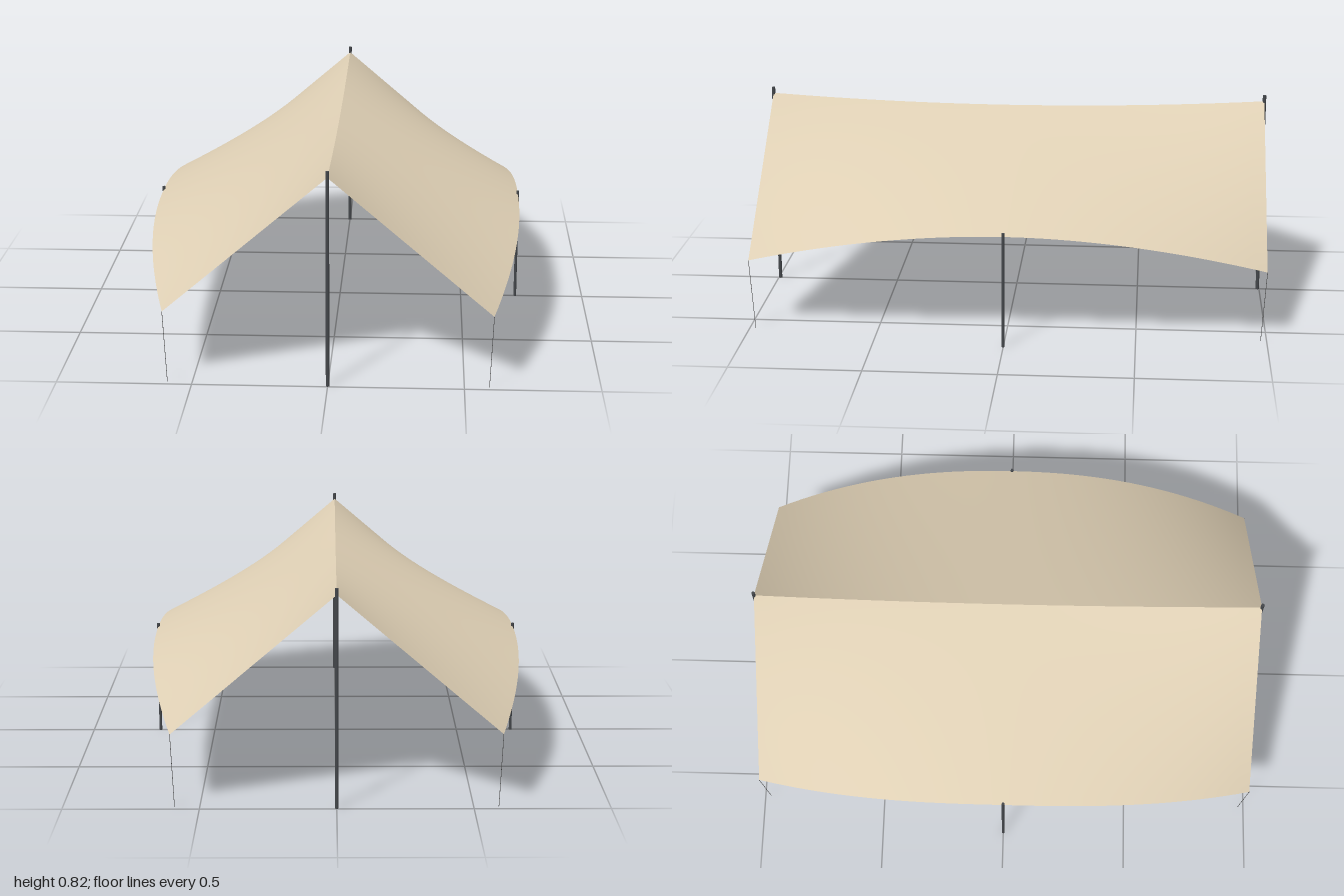
import * as THREE from 'three';

const HALF = 0.993; // half length of the ridge

export function createModel() {
  const group = new THREE.Group();
  const canvas = new THREE.MeshStandardMaterial({ color: 0xdecfb4, side: THREE.DoubleSide });
  canvas.name = 'sand canvas';
  const metal = new THREE.MeshStandardMaterial({ color: 0x43464a });
  metal.name = 'dark pole';
  const cord = new THREE.MeshStandardMaterial({ color: 0x4a4a4a });
  cord.name = 'guy cord';

  // sagging ridge and outward-bowed, raised eave; t runs -1..1 along the length
  const ridge = (t) => new THREE.Vector3(0, 0.763 + 0.033 * t * t, t * HALF);
  const eave = (t, s) => new THREE.Vector3(
    s * (0.603 + 0.122 * (1 - Math.pow(Math.abs(t), 2.4))),
    0.281 + 0.158 * (1 - t * t),
    t * HALF
  );

  // each roof half is ruled between ridge and eave
  for (const s of [-1, 1]) {
    const geo = new THREE.PlaneGeometry(1, 1, 24, 40);
    const pos = geo.attributes.position;
    for (let i = 0; i < pos.count; i++) {
      const u = pos.getX(i) + 0.5;
      const t = -pos.getY(i) * 2;
      const p = s > 0 ? ridge(t).lerp(eave(t, s), u) : eave(t, s).lerp(ridge(t), u);
      pos.setXYZ(i, p.x, p.y, p.z);
    }
    geo.computeVertexNormals();
    const half = new THREE.Mesh(geo, canvas);
    half.name = s > 0 ? 'leftRoofPanel' : 'rightRoofPanel';
    group.add(half);
  }

  // straight rod between two points
  function rod(name, a, b, radius, material) {
    const dir = b.clone().sub(a);
    const mesh = new THREE.Mesh(new THREE.CylinderGeometry(radius, radius, dir.length(), 10), material);
    mesh.position.copy(a).add(b).multiplyScalar(0.5);
    mesh.quaternion.setFromUnitVectors(new THREE.Vector3(0, 1, 0), dir.normalize());
    mesh.name = name;
    group.add(mesh);
  }
  const v = (x, y, z) => new THREE.Vector3(x, y, z);

  for (const s of [-1, 1]) {
    // tall poles under the ridge ends, short poles at the eave middles
    rod(s > 0 ? 'frontRidgePole' : 'backRidgePole', v(0, 0, s * HALF), v(0, 0.82, s * HALF), 0.007, metal);
    rod(s > 0 ? 'leftSidePole' : 'rightSidePole', v(s * 0.724, 0, 0), v(s * 0.724, 0.453, 0), 0.0058, metal);
    // corner guy lines
    for (const e of [-1, 1]) {
      rod('guyLine', v(s * 0.592, 0, e * 0.977), eave(e, s), 0.001, cord);
    }
  }
  return group;
}
